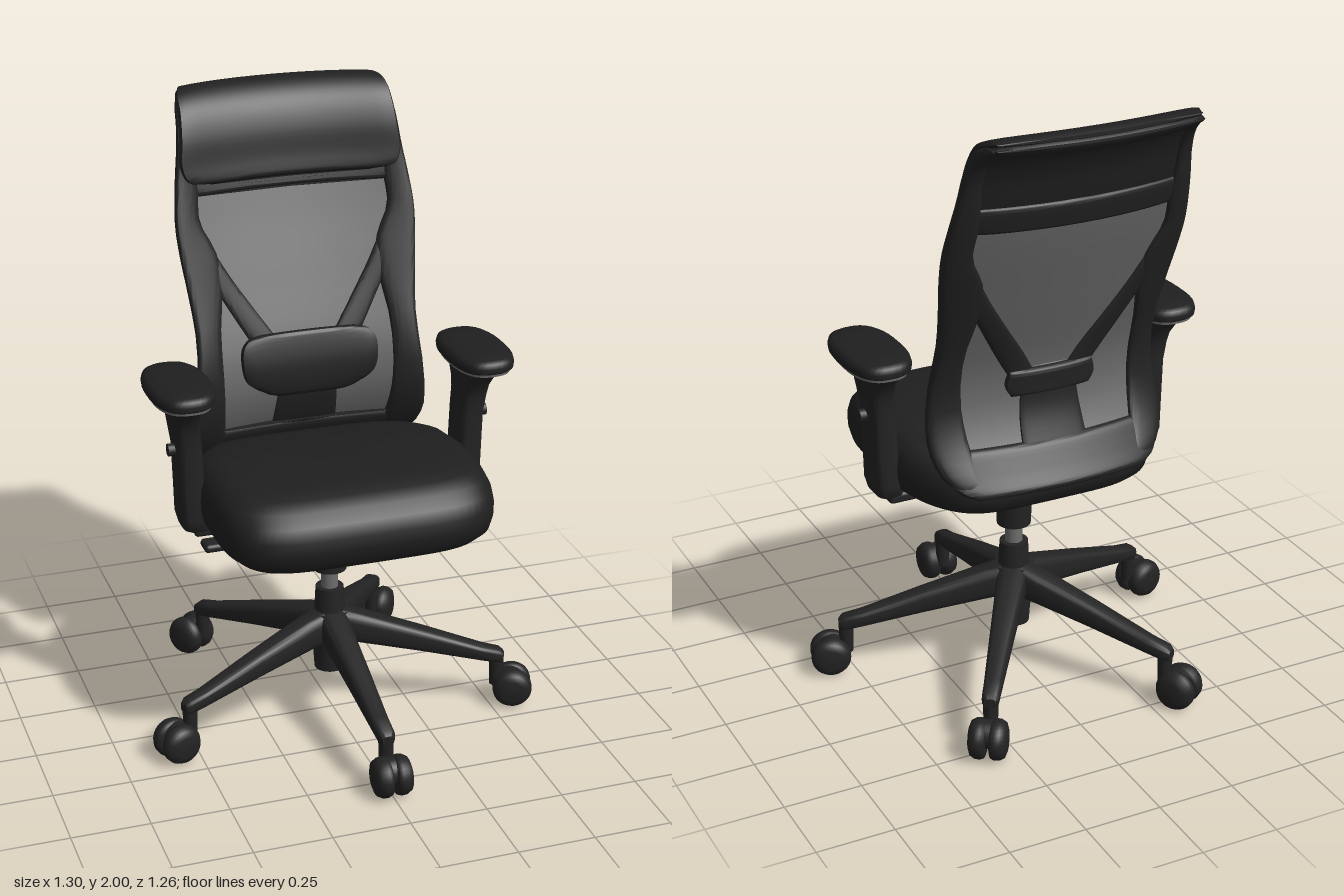
import * as THREE from 'three';
import { toCreasedNormals } from 'three/addons/utils/BufferGeometryUtils.js';
import { RoundedBoxGeometry } from 'three/addons/geometries/RoundedBoxGeometry.js';

const V = (x, y, z) => new THREE.Vector3(x, y, z);
const spow = (v, p) => Math.sign(v) * Math.abs(v) ** p;

// Closed skin through equal-length rings, capped at both ends
function loft(rings) {
  const n = rings[0].length, pos = [], idx = [];
  rings.forEach(r => r.forEach(p => pos.push(p.x, p.y, p.z)));
  for (let i = 0; i < rings.length - 1; i++) for (let j = 0; j < n; j++) {
    const a = i * n + j, b = i * n + (j + 1) % n;
    idx.push(a, a + n, b, a + n, b + n, b);
  }
  [0, rings.length - 1].forEach((k, end) => {
    const c = rings[k].reduce((s, p) => s.add(p), V(0, 0, 0)).divideScalar(n);
    const m = pos.length / 3;
    pos.push(c.x, c.y, c.z);
    for (let j = 0; j < n; j++) {
      const a = k * n + j, b = k * n + (j + 1) % n;
      if (end) idx.push(m, b, a); else idx.push(m, a, b);
    }
  });
  const g = new THREE.BufferGeometry();
  g.setAttribute('position', new THREE.Float32BufferAttribute(pos, 3));
  g.setIndex(idx);
  return toCreasedNormals(g, 0.8);
}

// Ring of n points from a rule taking cosine and sine
const ring = (n, f) => Array.from({ length: n }, (_, i) => {
  const a = i / n * Math.PI * 2;
  return f(Math.cos(a), Math.sin(a));
});

// Side profile of the backrest as (z, y), running upwards
const profile = new THREE.SplineCurve([
  [-0.385, 0.79], [-0.345, 0.85], [-0.30, 0.93], [-0.268, 1.02], [-0.262, 1.1], [-0.28, 1.2], [-0.35, 1.4],
  [-0.42, 1.6], [-0.465, 1.75], [-0.487, 1.85], [-0.52, 1.92], [-0.565, 1.957], [-0.625, 1.975],
].map(p => new THREE.Vector2(...p))).getPoints(120);

// Point on the curved backrest, d in front of its middle surface
function onBack(x, y, d) {
  let i = profile.findIndex(p => p.y >= y);
  if (i < 0) i = profile.length - 1;
  i = Math.max(1, i);
  const a = profile[i - 1], b = profile[i];
  const t = THREE.MathUtils.clamp((y - a.y) / (b.y - a.y), 0, 1);
  const dz = b.x - a.x, dy = b.y - a.y, l = Math.hypot(dz, dy);
  return V(x, a.y + dy * t - dz / l * d, a.x + dz * t + dy / l * d + 0.05 * (x / 0.38) ** 2);
}

// Rounded slab on the backrest; rows are [y, x from, x to]
function panel(rows, half, offset = 0) {
  const steps = 32;
  const pts = new THREE.CatmullRomCurve3(rows.map(r => V(...r))).getPoints(steps);
  return loft(pts.map((p, k) => {
    const e = Math.max(0.2, Math.sqrt(1 - Math.abs(2 * k / steps - 1) ** 8));
    const m = (p.y + p.z) / 2, h = Math.abs(p.z - p.y) / 2;
    return ring(32, (c, s) => onBack(m + h * c, p.x, offset + half * e * spow(s, 0.4)));
  }));
}

export function createModel() {
  const mat = (name, color) => Object.assign(new THREE.MeshStandardMaterial({ color }), { name });
  const plastic = mat('black plastic', 0x232323);
  const fabric = mat('black fabric', 0x1f1f1f);
  const meshGrey = mat('grey mesh', 0x6b6b6b);
  const metal = mat('grey metal', 0x6e6e6e);
  const model = new THREE.Group();
  const add = (name, geo, material, x = 0, y = 0, z = 0, parent = model) => {
    const m = new THREE.Mesh(geo, material);
    m.name = name;
    m.position.set(x, y, z);
    parent.add(m);
    return m;
  };
  const cyl = (r1, r2, y0, y1) => new THREE.CylinderGeometry(r1, r2, y1 - y0, 28).translate(0, (y0 + y1) / 2, 0);
  const hubZ = -0.03;

  // Seat cushion: rows are [y, half width, front z, back z]
  add('seat', loft([
    [0.705, 0.35, 0.32, -0.27], [0.72, 0.40, 0.40, -0.32], [0.75, 0.432, 0.425, -0.345], [0.79, 0.443, 0.432, -0.35],
    [0.83, 0.445, 0.43, -0.35], [0.87, 0.44, 0.412, -0.34], [0.905, 0.425, 0.38, -0.325], [0.928, 0.395, 0.335, -0.29],
    [0.938, 0.35, 0.28, -0.24], [0.941, 0.2, 0.15, -0.12],
  ].map(([y, w, f, b]) => ring(64, (c, s) => {
    const z = (f + b) / 2 + (f - b) / 2 * spow(s, 0.42);
    const narrow = 1 - 0.16 * THREE.MathUtils.smoothstep(-z, 0.05, 0.35);
    return V(w * spow(c, 0.42) * narrow, y - Math.max(0, -z) * 0.7 * (y - 0.7), z);
  }))), fabric);

  // Backrest frame: sides, diagonal braces, bands and centre plate
  const outer = [[0.80, 0.30], [0.85, 0.365], [0.93, 0.393], [1.05, 0.385], [1.25, 0.368], [1.4, 0.38],
    [1.5, 0.392], [1.6, 0.397], [1.7, 0.387], [1.8, 0.372], [1.9, 0.36], [1.95, 0.352], [1.97, 0.335]];
  const inner = [0.24, 0.26, 0.275, 0.285, 0.285, 0.262, 0.27, 0.315, 0.31, 0.315, 0.315, 0.31, 0.305];
  for (const s of [1, -1]) {
    add('backSide', panel(outer.map(([y, x], i) => [y, s * inner[i], s * x]), 0.022), plastic);
    add('backBrace', panel([[1.08, 0.02, 0.1], [1.2, 0.085, 0.175], [1.32, 0.165, 0.245], [1.42, 0.23, 0.30], [1.5, 0.275, 0.33]]
      .map(([y, a, b]) => [y, s * a, s * b]), 0.017), plastic);
  }
  add('backBottomBand', panel([[0.79, -0.28, 0.28], [0.82, -0.34, 0.34], [0.87, -0.37, 0.37], [0.925, -0.385, 0.385]], 0.02), plastic);
  add('backCentrePlate', panel([[0.88, -0.11, 0.11], [0.98, -0.105, 0.105], [1.1, -0.09, 0.09], [1.16, -0.07, 0.07]], 0.015), plastic);
  add('backUpperBand', panel([[1.675, -0.32, 0.32], [1.7, -0.35, 0.35], [1.76, -0.36, 0.36]], 0.02), plastic);
  add('backTopRim', panel([[1.925, -0.35, 0.35], [1.95, -0.35, 0.35], [1.973, -0.33, 0.33]], 0.02), plastic);
  add('headrestShell', panel([[1.7, -0.34, 0.34], [1.85, -0.34, 0.34], [1.95, -0.33, 0.33]], 0.008), fabric);
  add('backMesh', panel([[0.88, -0.33, 0.33], [1.25, -0.33, 0.33], [1.5, -0.34, 0.34], [1.71, -0.35, 0.35]], 0.003), meshGrey);

  // Headrest and lumbar cushions
  add('headrest', panel([[1.705, -0.26, 0.26], [1.725, -0.35, 0.35], [1.77, -0.368, 0.368], [1.85, -0.362, 0.362],
    [1.92, -0.355, 0.355], [1.955, -0.35, 0.35], [1.972, -0.325, 0.325]], 0.024, 0.018), fabric);
  add('lumbarPad', panel([[1.045, -0.11, 0.11], [1.065, -0.16, 0.16], [1.1, -0.215, 0.215], [1.15, -0.23, 0.23],
    [1.2, -0.225, 0.225], [1.225, -0.2, 0.2], [1.235, -0.16, 0.16]], 0.03, 0.028), fabric);
  add('lumbarBracket', panel([[1.07, -0.13, 0.13], [1.11, -0.15, 0.15], [1.16, -0.14, 0.14]], 0.018, -0.014), plastic);

  // Armrests: post rows are [y, x, half width, half depth]
  for (const s of [1, -1]) {
    const arm = new THREE.Group();
    arm.name = s > 0 ? 'leftArmrest' : 'rightArmrest';
    model.add(arm);
    add('armPost', loft([
      [0.71, 0.435, 0.03, 0.05], [0.725, 0.45, 0.043, 0.065], [0.76, 0.46, 0.042, 0.07], [0.85, 0.463, 0.041, 0.07],
      [1.0, 0.468, 0.041, 0.068], [1.06, 0.475, 0.043, 0.072], [1.1, 0.478, 0.045, 0.085], [1.14, 0.482, 0.05, 0.115], [1.17, 0.488, 0.06, 0.14],
    ].map(([y, x, hx, hz]) => ring(32, (c, t) => V(s * x + hx * spow(c, 0.5), y, -0.037 + hz * spow(t, 0.5))))), plastic, 0, 0, 0, arm);
    add('armBracket', new RoundedBoxGeometry(0.24, 0.035, 0.12, 3, 0.012), plastic, s * 0.34, 0.715, -0.04, arm);
    add('armKnob', new THREE.CylinderGeometry(0.02, 0.02, 0.03, 16).rotateZ(Math.PI / 2), plastic, s * 0.515, 0.99, -0.03, arm);
    const oval = (w, d, y) => ring(40, (c, t) => V(s * 0.49 + w * spow(c, 0.75), y, -0.033 + d * spow(t, 0.75)));
    add('armPadBase', loft([oval(0.075, 0.145, 1.16), oval(0.09, 0.165, 1.165), oval(0.093, 0.168, 1.18)]), metal, 0, 0, 0, arm);
    add('armPad', loft([oval(0.09, 0.165, 1.172), oval(0.1, 0.177, 1.18), oval(0.102, 0.179, 1.195),
      oval(0.098, 0.174, 1.21), oval(0.085, 0.16, 1.218), oval(0.04, 0.1, 1.221)]), fabric, 0, 0, 0, arm);
  }

  // Tilt mechanism, lever and gas column
  add('mechanismPlate', new RoundedBoxGeometry(0.19, 0.045, 0.3, 2, 0.01), metal, 0, 0.685, -0.025);
  add('mechanismHousing', new RoundedBoxGeometry(0.13, 0.04, 0.18, 2, 0.015), plastic, 0, 0.65, hubZ);
  add('lever', new THREE.TubeGeometry(new THREE.CatmullRomCurve3(
    [V(-0.06, 0.7, hubZ), V(-0.11, 0.69, hubZ), V(-0.17, 0.638, hubZ), V(-0.24, 0.635, hubZ), V(-0.36, 0.64, hubZ)]), 24, 0.009, 8), plastic);
  add('leverPaddle', new RoundedBoxGeometry(0.1, 0.028, 0.07, 3, 0.013), plastic, -0.375, 0.642, hubZ);
  add('columnNeck', cyl(0.04, 0.04, 0.6, 0.67), plastic, 0, 0, hubZ);
  add('columnSleeve', cyl(0.06, 0.055, 0.5, 0.615), plastic, 0, 0, hubZ);
  add('gasColumn', cyl(0.028, 0.028, 0.42, 0.51), metal, 0, 0, hubZ);
  add('hubCollar', cyl(0.046, 0.052, 0.33, 0.435), plastic, 0, 0, hubZ);
  add('hub', cyl(0.065, 0.05, 0.14, 0.35), plastic, 0, 0, hubZ);

  // Five legs with twin-wheel casters
  const legGeo = loft([[0.02, 0.305, 0.05, 0.058], [0.1, 0.288, 0.047, 0.053], [0.3, 0.24, 0.038, 0.04], [0.5, 0.188, 0.029, 0.027],
    [0.56, 0.176, 0.027, 0.025], [0.575, 0.172, 0.018, 0.016]]
    .map(([r, y, hx, hy]) => ring(24, (c, s) => V(hx * spow(c, 0.6), y - hy * spow(s, 0.6), r))));
  const wheelGeo = new THREE.LatheGeometry([[0, -0.028], [0.05, -0.028], [0.06, -0.024], [0.065, -0.012],
    [0.064, 0.004], [0.055, 0.02], [0.035, 0.027], [0, 0.029]].map(p => new THREE.Vector2(...p)), 32);
  for (const deg of [0, 72, 146, -146, -72]) {
    const leg = new THREE.Group();
    leg.name = 'baseLeg';
    leg.position.z = hubZ;
    leg.rotation.y = THREE.MathUtils.degToRad(deg);
    model.add(leg);
    add('legBeam', legGeo, plastic, 0, 0, 0, leg);
    add('casterStem', cyl(0.025, 0.022, 0.07, 0.185), plastic, 0, 0, 0.552, leg);
    add('casterHood', new THREE.CylinderGeometry(0.046, 0.046, 0.03, 24).rotateZ(Math.PI / 2), plastic, 0, 0.08, 0.6, leg);
    for (const s of [1, -1]) add('casterWheel', wheelGeo, plastic, s * 0.034, 0.065, 0.605, leg).rotation.z = -s * Math.PI / 2;
  }
  return model;
}
